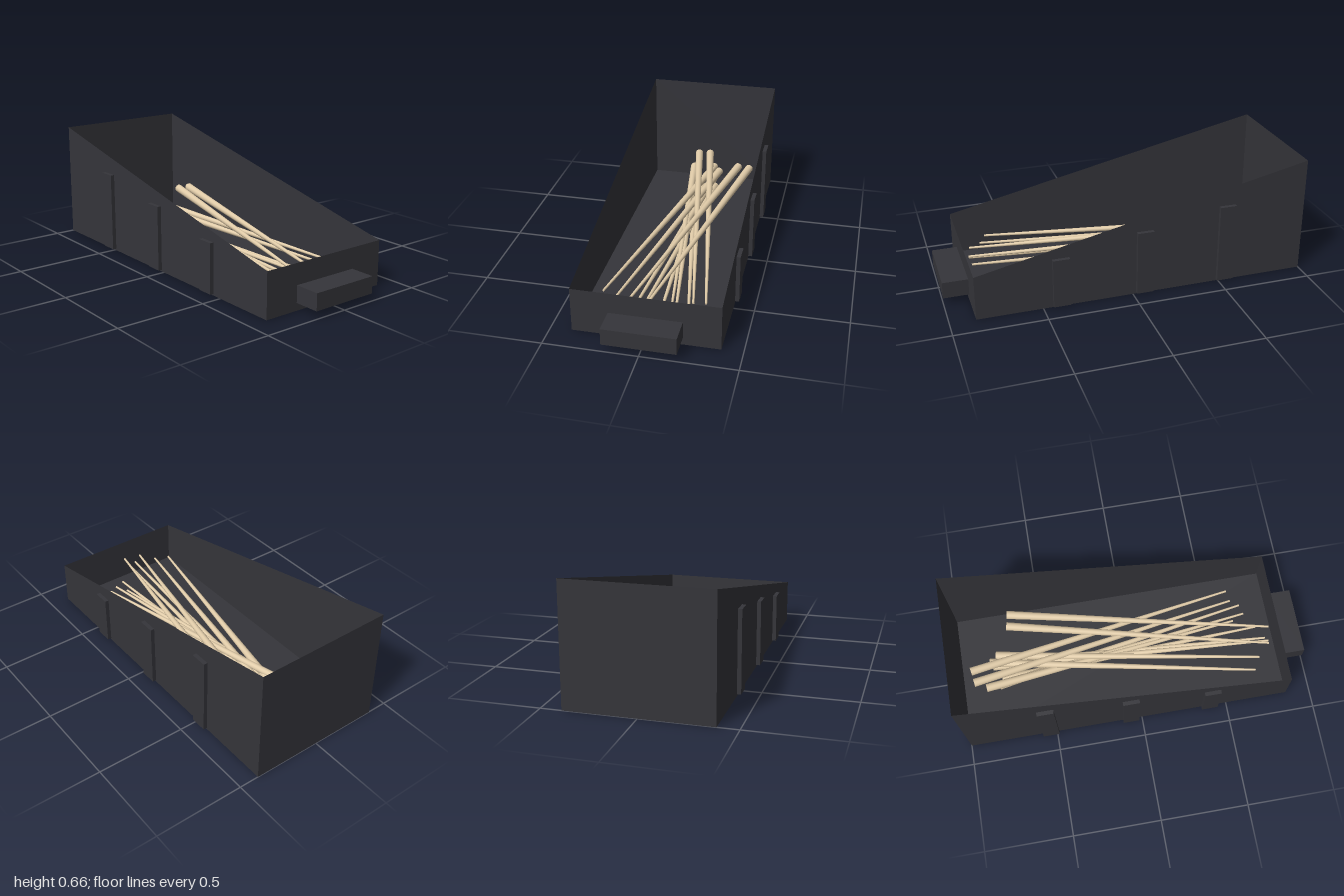
import * as THREE from 'three';

const W = 0.388, ZF = 0.86, ZB = -1, HF = 0.25, HB = 0.66;

export function createModel() {
  const model = new THREE.Group();
  const dark = new THREE.MeshStandardMaterial({ color: 0x35353a, side: THREE.DoubleSide });
  const wood = new THREE.MeshStandardMaterial({ color: 0xe0cba8 });

  const add = (name, geometry, material, parent = model) => {
    const mesh = new THREE.Mesh(geometry, material);
    mesh.name = name;
    parent.add(mesh);
    return mesh;
  };

  // Thin panel from four corners, counter-clockwise seen from outside
  const panel = (name, ...corners) => {
    const g = new THREE.BufferGeometry();
    g.setAttribute('position', new THREE.Float32BufferAttribute(corners.flat(), 3));
    g.setIndex([0, 1, 2, 0, 2, 3]);
    g.computeVertexNormals();
    add(name, g, dark);
  };

  // Open tray with sloping side walls
  panel('floor', [-W, 0, ZB], [W, 0, ZB], [W, 0, ZF], [-W, 0, ZF]);
  panel('frontWall', [-W, 0, ZF], [W, 0, ZF], [W, HF, ZF], [-W, HF, ZF]);
  panel('backWall', [W, 0, ZB], [-W, 0, ZB], [-W, HB, ZB], [W, HB, ZB]);
  panel('leftWall', [W, 0, ZF], [W, 0, ZB], [W, HB, ZB], [W, HF, ZF]);
  panel('rightWall', [-W, 0, ZB], [-W, 0, ZF], [-W, HF, ZF], [-W, HB, ZB]);

  // Front pull
  add('handle', new THREE.BoxGeometry(0.385, 0.093, 0.14), dark).position.set(0, 0.088, 0.93);

  // Upright ribs on both sides, taller toward the back
  for (const side of [-1, 1]) {
    for (const [z, top] of [[0.4, 0.287], [-0.065, 0.374], [-0.535, 0.457]]) {
      const rib = add(side > 0 ? 'leftRib' : 'rightRib',
        new THREE.BoxGeometry(0.022, top - 0.01, 0.093), dark);
      rib.position.set(side * (W + 0.011), (top + 0.01) / 2, z);
    }
  }

  // Pile of tapered sticks: thick end x, y, z then thin tip x, y, z
  const sticks = [
    [0.215, 0.24, -0.69, -0.12, 0.155, 0.80],
    [0.285, 0.24, -0.68, -0.02, 0.155, 0.82],
    [-0.08, 0.20, -0.92, 0.20, 0.10, 0.64],
    [-0.01, 0.20, -0.93, 0.265, 0.10, 0.63],
    [0.04, 0.16, -0.82, -0.265, 0.145, 0.69],
    [0.08, 0.15, -0.78, -0.19, 0.14, 0.73],
    [-0.10, 0.13, -0.86, 0.085, 0.06, 0.64],
    [-0.09, 0.11, -0.82, 0.12, 0.06, 0.71],
    [-0.08, 0.07, -0.79, 0.185, 0.04, 0.70],
    [0.04, 0.08, -0.81, -0.09, 0.11, 0.81],
    [0.06, 0.06, -0.74, -0.06, 0.08, 0.80],
    [-0.03, 0.04, -0.77, 0.035, 0.03, 0.77],
  ];
  const pile = new THREE.Group();
  pile.name = 'stickPile';
  model.add(pile);
  const up = new THREE.Vector3(0, 1, 0);
  for (const s of sticks) {
    const thick = new THREE.Vector3(...s.slice(0, 3));
    const dir = new THREE.Vector3(...s.slice(3)).sub(thick);
    const stick = add('stick', new THREE.CylinderGeometry(0.006, 0.024, dir.length(), 16), wood, pile);
    stick.position.copy(thick).addScaledVector(dir, 0.5);
    stick.quaternion.setFromUnitVectors(up, dir.normalize());
  }

  return model;
}
